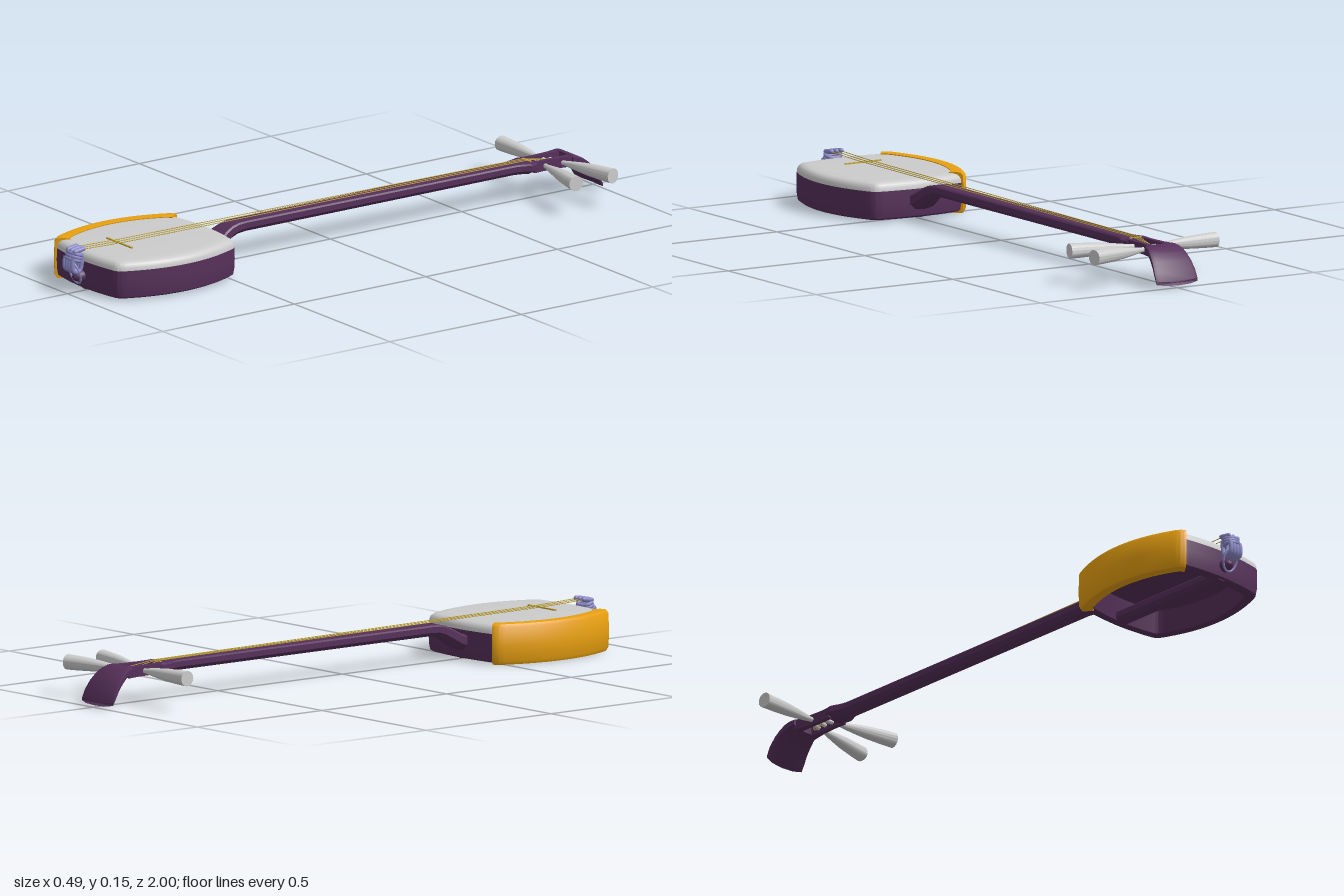
import * as THREE from 'three';
import { toCreasedNormals } from 'three/addons/utils/BufferGeometryUtils.js';

const mat = (color) => new THREE.MeshStandardMaterial({ color });
const purple = mat(0x56305a), orange = mat(0xe8a010), grey = mat(0xcccccc);
const rope = mat(0x8a88c4), gold = mat(0xc4a83c);
const V = (x, y, z) => new THREE.Vector3(x, y, z);

// Skin a list of closed rings (arrays of Vector3) and cap both ends
function loft(rings, crease = 0.6) {
  const n = rings[0].length, pos = [], idx = [];
  rings.flat().forEach((p) => pos.push(p.x, p.y, p.z));
  for (let i = 0; i < rings.length - 1; i++) {
    for (let j = 0; j < n; j++) {
      const k = (j + 1) % n, a = i * n + j, b = i * n + k;
      idx.push(a, a + n, b + n, a, b + n, b);
    }
  }
  [rings[0], rings[rings.length - 1]].forEach((ring, end) => {
    const c = ring.reduce((s, p) => s.add(p), V(0, 0, 0)).divideScalar(n);
    const ci = pos.length / 3, base = end * (rings.length - 1) * n;
    pos.push(c.x, c.y, c.z);
    for (let j = 0; j < n; j++) {
      const a = base + j, b = base + (j + 1) % n;
      if (end) idx.push(ci, b, a); else idx.push(ci, a, b);
    }
  });
  const g = new THREE.BufferGeometry();
  g.setAttribute('position', new THREE.Float32BufferAttribute(pos, 3));
  g.setIndex(idx);
  return toCreasedNormals(g, crease);
}

// Body plan: bulged sides, gently curved ends, rounded corners
const A = 0.22, B = 0.242, BODY_Z = 0.698;
function bodyOutline() {
  const s = new THREE.Shape();
  s.moveTo(0.178, -0.195);
  s.quadraticCurveTo(0.262, 0, 0.178, 0.195);
  s.quadraticCurveTo(0.167, 0.223, 0.15, 0.227);
  s.quadraticCurveTo(0, 0.257, -0.15, 0.227);
  s.quadraticCurveTo(-0.167, 0.223, -0.178, 0.195);
  s.quadraticCurveTo(-0.262, 0, -0.178, -0.195);
  s.quadraticCurveTo(-0.167, -0.223, -0.15, -0.227);
  s.quadraticCurveTo(0, -0.257, 0.15, -0.227);
  s.quadraticCurveTo(0.167, -0.223, 0.178, -0.195);
  return s.getPoints(24).slice(0, -1);
}
const outline = bodyOutline();
const offset = (p, d, y) => V(p.x * (A + d) / A, y, BODY_Z + p.y * (B + d) / B);
const bodyRing = ([d, y]) => outline.map((p) => offset(p, d, y));

// Neck-like section: flat top, bevelled underside.
// Rows run towards -z: [z, halfWidth, top, bottom, bow of the end]
const half = [[1, 0.75], [0.85, 1], [-0.85, 1], [-1, 0.75], [-1, -0.2], [-0.6, -0.85],
  [0, -1], [0.6, -0.85], [1, -0.2]];
const section = ([z, w, top, bot, bow = 0]) =>
  half.map(([u, v]) => V(u * w, (top + bot) / 2 + v * (top - bot) / 2, z + bow * u * u));

export function createModel() {
  const model = new THREE.Group();
  model.name = 'longNeckedLute';
  model.position.x = -0.007;
  const add = (name, geo, material, parent = model) => {
    const m = new THREE.Mesh(geo, material);
    m.name = name;
    parent.add(m);
    return m;
  };
  const tube = (name, pts, r, closed, parent) =>
    add(name, new THREE.TubeGeometry(
      new THREE.CatmullRomCurve3(pts, closed), 32, r, 8, closed), rope, parent);

  // Wooden frame, hollow underneath
  add('bodyFrame', loft([[-0.06, 0.082], [-0.046, 0.08], [-0.034, 0.008], [-0.01, 0.006],
    [-0.003, 0.011], [0, 0.03], [0.001, 0.06], [0, 0.096]].map(bodyRing)), purple);
  // Stretched skin with a rounded edge
  add('skin', loft([[0, 0.095], [-0.001, 0.106], [-0.005, 0.115], [-0.012, 0.121],
    [-0.024, 0.124], [-0.05, 0.125]].map(bodyRing), 0.9), grey);

  // Cover wrapped over one long side of the body
  const coverProfile = [[-0.036, 0.127], [-0.015, 0.129], [-0.001, 0.127], [0.005, 0.118], [0.007, 0.06],
    [0.005, 0.012], [-0.001, 0.001], [-0.031, 0.001], [-0.023, 0.06]];
  add('sideCover', loft(outline.filter((p) => p.x < -0.14)
    .map((p) => coverProfile.map(([d, y]) => offset(p, d, y))), 0.8), orange);
  for (const s of [-1, 1]) {
    const tip = add('coverTip', new THREE.SphereGeometry(0.014, 16, 8), orange);
    tip.scale.y = 0.3;
    tip.position.set(-0.153, 0.125, BODY_Z + s * 0.2);
  }

  // Neck, curving down into the body and flaring below the peg box
  add('neck', loft([[0.48, 0.047, 0.08, 0.028], [0.455, 0.047, 0.082, 0.03], [0.435, 0.045, 0.09, 0.038],
    [0.41, 0.037, 0.105, 0.055], [0.385, 0.033, 0.116, 0.072], [0.36, 0.031, 0.121, 0.082],
    [0.33, 0.03, 0.122, 0.085], [-0.69, 0.03, 0.12, 0.085], [-0.715, 0.036, 0.12, 0.084],
    [-0.74, 0.048, 0.12, 0.083], [-0.755, 0.044, 0.12, 0.085], [-0.765, 0.04, 0.12, 0.086]]
    .map(section)), purple);
  // Rod running through the body to the tail knob
  add('innerRod', loft([[0.93, 0.026, 0.036, 0.003], [0.9, 0.026, 0.036, 0.001], [0.5, 0.026, 0.036, 0.001],
    [0.47, 0.028, 0.036, 0.003]].map(section)), purple);
  const knob = add('tailKnob', new THREE.SphereGeometry(0.02, 20, 14), purple);
  knob.scale.set(1.05, 1, 1.7);
  knob.position.set(0, 0.048, 0.94);

  // Peg box cheeks with an open slot between them
  for (const s of [-1, 1]) {
    const cheek = new THREE.Shape([[0.022, 0.755], [0.038, 0.755], [0.036, 0.79], [0.039, 0.85],
      [0.048, 0.9], [0.022, 0.9]].map(([x, z]) => new THREE.Vector2(s * x, z)));
    const g = new THREE.ExtrudeGeometry(cheek, { depth: 0.033, bevelEnabled: false });
    g.rotateX(-Math.PI / 2);
    g.translate(0, 0.087, 0);
    add('pegBoxCheek', g, purple);
  }
  // Swept-back shovel head with a bowed end
  add('head', loft([[-0.89, 0.054, 0.121, 0.09], [-0.907, 0.058, 0.119, 0.085], [-0.925, 0.062, 0.112, 0.077, 0.002],
    [-0.945, 0.066, 0.098, 0.062, 0.004], [-0.965, 0.07, 0.079, 0.043, 0.006],
    [-0.985, 0.074, 0.051, 0.021, 0.009], [-1.0, 0.075, 0.022, 0.008, 0.012]].map(section)), purple);

  // Tuning pegs: slim shaft swelling to a wide, cut-off handle
  const pegShape = [[0, -0.05], [0.007, -0.05], [0.008, 0.02], [0.011, 0.04], [0.016, 0.08],
    [0.02, 0.12], [0.0225, 0.17], [0.024, 0.217], [0, 0.217]].map((p) => new THREE.Vector2(...p));
  const pegGeo = toCreasedNormals(new THREE.LatheGeometry(pegShape, 16), 0.7);
  for (const [s, x, z, tilt] of [[-1, -0.025, -0.83, 0], [1, 0.034, -0.86, -0.04], [1, 0.034, -0.797, 0.036]]) {
    const peg = add('tuningPeg', pegGeo, grey);
    peg.position.set(x, 0.103, z);
    peg.quaternion.setFromUnitVectors(V(0, 1, 0), V(s * 0.21, 0, tilt).normalize());
  }

  // Strings, bridge and nut
  [-1, 0, 1].forEach((s) => {
    const path = new THREE.CurvePath();
    const pts = [V(s * 0.018, 0.138, 0.955), V(s * 0.018, 0.133, 0.797),
      V(s * 0.011, 0.1235, -0.752), V(s * 0.011, 0.111, -0.83 - s * 0.031)];
    for (let i = 0; i < 3; i++) path.add(new THREE.LineCurve3(pts[i], pts[i + 1]));
    add('string', new THREE.TubeGeometry(path, 60, 0.0013, 6), gold);
    const coil = add('stringCoil', new THREE.TorusGeometry(0.009, 0.0016, 6, 16), gold);
    coil.rotation.y = Math.PI / 2;
    coil.position.copy(pts[3]).setY(0.103);
  });
  add('bridge', new THREE.BoxGeometry(0.132, 0.005, 0.007), gold).position.set(0, 0.1265, 0.796);
  add('nut', new THREE.BoxGeometry(0.044, 0.005, 0.006), gold).position.set(0, 0.12, -0.752);

  // Rope tailpiece: loop round the knob, hanging strands, wraps and top knots
  const tail = new THREE.Group();
  tail.name = 'tailpiece';
  model.add(tail);
  const loop = [];
  for (let i = 0; i < 16; i++) {
    const a = i / 16 * Math.PI * 2;
    loop.push(V(0.027 * Math.cos(a), 0.062 + 0.036 * Math.sin(a), 0.967 + 0.012 * Math.sin(a)));
  }
  tube('ropeLoop', loop, 0.0035, true, tail);
  for (let i = 0; i < 4; i++) {
    const x = (i - 1.5) * 0.0135;
    tube('ropeStrand', [V(x, 0.118, 0.955), V(x, 0.09, 0.956), V(x, 0.073, 0.962), V(x, 0.069, 0.976),
      V(x, 0.076, 0.988), V(x, 0.095, 0.991), V(x, 0.115, 0.986)], 0.0068, false, tail);
  }
  for (let i = 0; i < 3; i++) {
    const wrap = add('ropeWrap', new THREE.TorusGeometry(0.022, 0.006, 8, 28), rope, tail);
    wrap.rotation.x = Math.PI / 2 - 0.3;
    wrap.scale.set(1.12, 0.9, 1);
    wrap.position.set(0, 0.106 + i * 0.009, 0.973 - i * 0.003);
    const knot = add('ropeKnot', new THREE.CapsuleGeometry(0.0075, 0.032, 6, 12), rope, tail);
    knot.rotation.x = Math.PI / 2 + 0.15;
    knot.position.set((i - 1) * 0.018, 0.137, 0.963);
  }
  return model;
}
